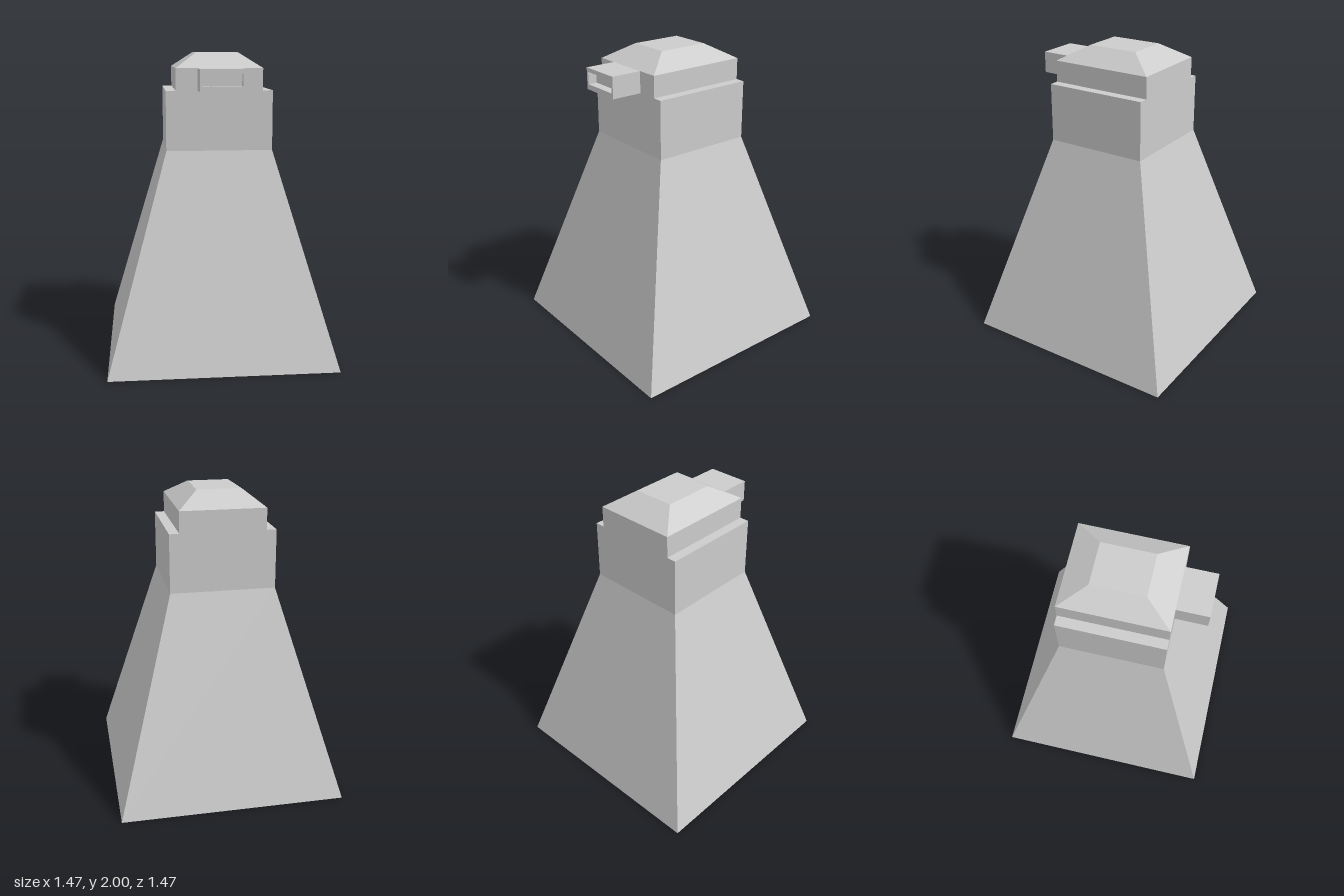
import * as THREE from 'three';

const material = new THREE.MeshStandardMaterial({ color: 0xcccccc, flatShading: true });

export function createModel() {
  const model = new THREE.Group();

  function add(name, geometry) {
    const mesh = new THREE.Mesh(geometry, material);
    mesh.name = name;
    model.add(mesh);
    return mesh;
  }

  // Box between two heights whose top may be narrower than its base (half sizes)
  function taperedBlock(name, y0, y1, baseX, baseZ, topX = baseX, topZ = baseZ) {
    const geometry = new THREE.BoxGeometry(2, y1 - y0, 2);
    const p = geometry.attributes.position;
    for (let i = 0; i < p.count; i++) {
      const top = p.getY(i) > 0;
      p.setX(i, p.getX(i) * (top ? topX : baseX));
      p.setZ(i, p.getZ(i) * (top ? topZ : baseZ));
    }
    geometry.translate(0, (y0 + y1) / 2, 0);
    geometry.computeVertexNormals();
    return add(name, geometry);
  }

  function rectangle(PathType, x, y0, y1) {
    return new PathType([[-x, y0], [x, y0], [x, y1], [-x, y1]].map(([a, b]) => new THREE.Vector2(a, b)));
  }

  // Tower
  taperedBlock('slopedBase', 0, 1.38, 0.737, 0.737, 0.342, 0.342);
  taperedBlock('neck', 1.38, 1.763, 0.342, 0.342);
  taperedBlock('head', 1.763, 1.903, 0.278, 0.342);
  taperedBlock('hippedRoof', 1.903, 2, 0.278, 0.342, 0.138, 0.171);

  // Projecting viewport: solid rear and a frame around a shallow slot
  const slotDepth = 0.06, wallZ = 0.342, frontZ = 0.547;
  const rearDepth = frontZ - slotDepth - wallZ;
  add('viewportRear', new THREE.BoxGeometry(0.28, 0.14, rearDepth))
    .position.set(0, 1.833, wallZ + rearDepth / 2);
  const frame = rectangle(THREE.Shape, 0.14, 1.763, 1.903);
  frame.holes.push(rectangle(THREE.Path, 0.125, 1.797, 1.877));
  add('viewportFrame', new THREE.ExtrudeGeometry(frame, { depth: slotDepth, bevelEnabled: false }))
    .position.z = frontZ - slotDepth;

  return model;
}
